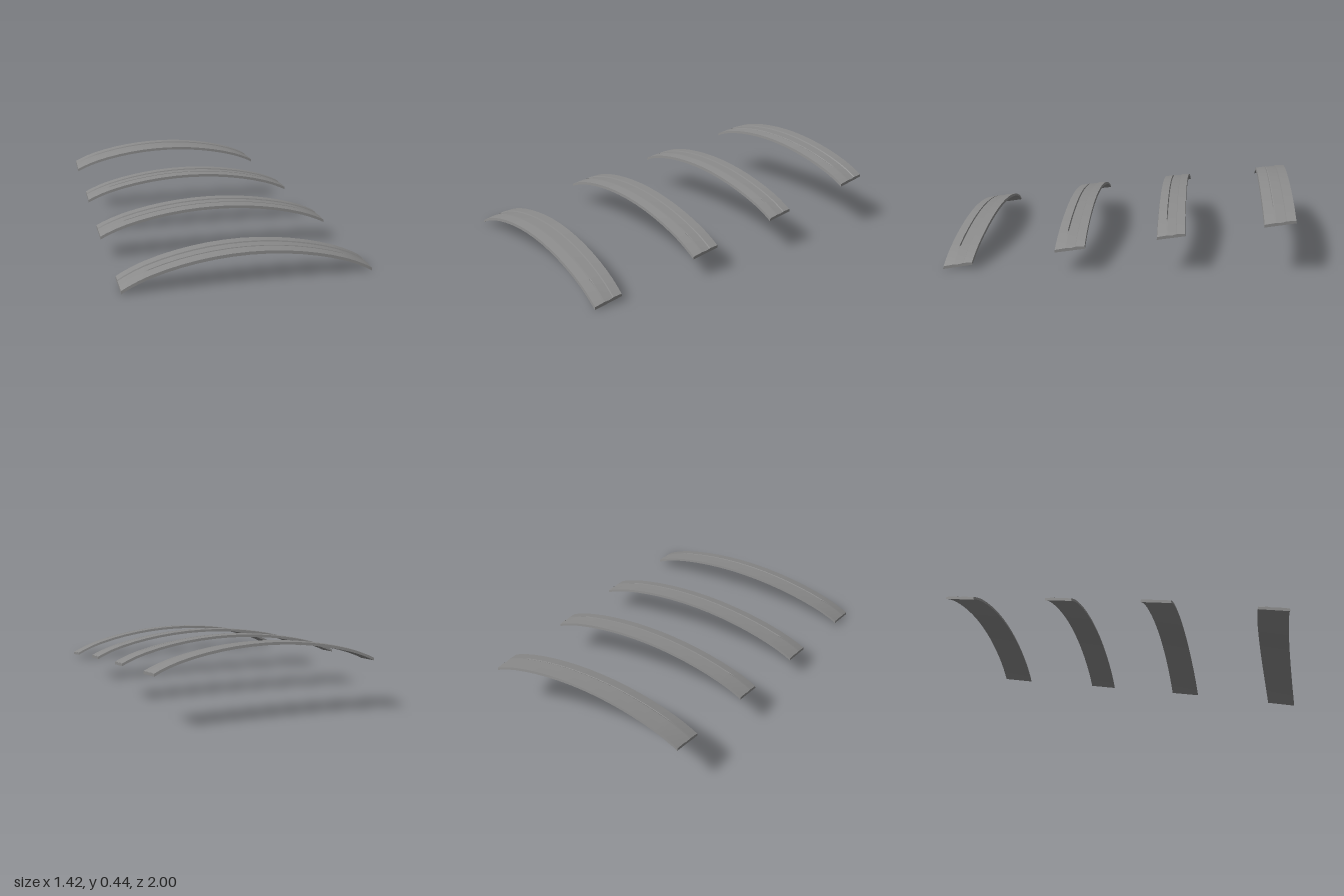
import * as THREE from 'three';

const grey = new THREE.MeshStandardMaterial({ color: 0x8a8a8a });
grey.name = 'slatGrey';

// Cross-section loop, front to back underneath, then back to front on top:
// [fraction front to back, height above the underside, extra groove depth]
const PROFILE = [
  [0, 0, 0], [1, 0, 0],
  [0.985, 0.015, 0], [0.69, 0.019, 0], [0.67, 0.013, 0], [0.37, 0.018, 0],
  [0.345, 0.018, 0.01], [0.32, 0.018, 0], [0.015, 0.016, 0],
];

// Stations along the half span, denser toward the tips
const HALF = [0.14, 0.28, 0.41, 0.54, 0.66, 0.77, 0.8, 0.87, 0.95, 1];
const STATIONS = [...HALF.map((u) => -u).reverse(), 0, ...HALF];

// Each row: z of front and back edge at centre and at tips, half width at
// front and back, tip height, arch height, rise from front to back, groove
const SLATS = [
  { front: [0.99, 1.0], back: [0.808, 0.828], half: [0.712, 0.706], y: 0, arch: 0.15, rise: 0.03, groove: 1 },
  { front: [0.353, 0.355], back: [0.185, 0.18], half: [0.698, 0.69], y: 0.114, arch: 0.133, rise: 0.026, groove: 1 },
  { front: [-0.216, -0.223], back: [-0.374, -0.383], half: [0.666, 0.656], y: 0.196, arch: 0.126, rise: 0.023, groove: 1 },
  { front: [-0.808, -0.82], back: [-0.988, -1.0], half: [0.635, 0.621], y: 0.275, arch: 0.122, rise: 0.026, groove: 0.2 },
];

function slatGeometry(s) {
  const point = ([t, h, g], u) => {
    const a = u * u;
    const drop = 0.87 * a + 0.13 * a ** 4;
    const zF = THREE.MathUtils.lerp(s.front[0], s.front[1], a);
    const zB = THREE.MathUtils.lerp(s.back[0], s.back[1], a);
    const groove = Math.abs(u) < 0.79 ? g * s.groove : 0;
    return [
      u * THREE.MathUtils.lerp(s.half[0], s.half[1], t),
      s.y + s.arch * (1 - drop) + s.rise * t + h - groove,
      THREE.MathUtils.lerp(zF, zB, t),
    ];
  };
  const pos = [], idx = [];
  const n = PROFILE.length;

  // One strip per profile edge: smooth along the arch, sharp across it
  for (let i = 0; i < n; i++) {
    const base = pos.length / 3;
    for (const u of STATIONS) pos.push(...point(PROFILE[i], u), ...point(PROFILE[(i + 1) % n], u));
    for (let j = 0; j < STATIONS.length - 1; j++) {
      const a = base + j * 2;
      idx.push(a, a + 1, a + 2, a + 1, a + 3, a + 2);
    }
  }
  // End caps
  for (const u of [-1, 1]) {
    const base = pos.length / 3;
    for (const p of PROFILE) pos.push(...point(p, u));
    for (let i = 1; i < n - 1; i++) {
      if (u > 0) idx.push(base, base + i, base + i + 1);
      else idx.push(base, base + i + 1, base + i);
    }
  }
  const geo = new THREE.BufferGeometry();
  geo.setAttribute('position', new THREE.Float32BufferAttribute(pos, 3));
  geo.setIndex(idx);
  geo.computeVertexNormals();
  return geo;
}

export function createModel() {
  const model = new THREE.Group();
  model.name = 'archedSlats';
  SLATS.forEach((s, i) => {
    const slat = new THREE.Mesh(slatGeometry(s), grey);
    slat.name = `archedSlat${i + 1}`;
    model.add(slat);
  });
  return model;
}
